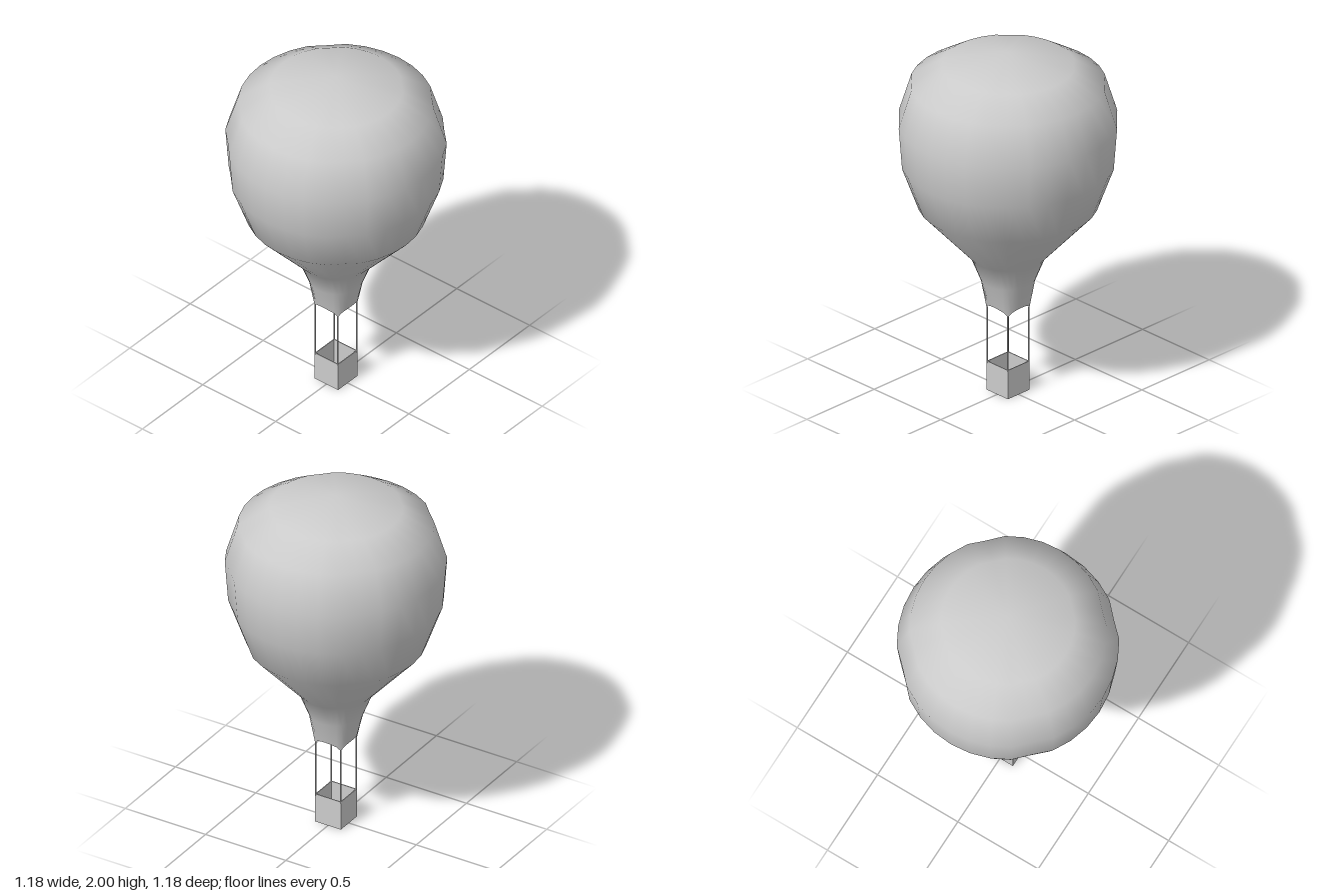
import * as THREE from 'three';
import { mergeVertices } from 'three/addons/utils/BufferGeometryUtils.js';

const material = new THREE.MeshStandardMaterial({ color: 0xcccccc, side: THREE.DoubleSide });
const HALF = 0.08; // half width of the basket, also the rope spacing

function addMesh(parent, name, geometry, x = 0, y = 0, z = 0) {
  const mesh = new THREE.Mesh(geometry, material);
  mesh.name = name;
  mesh.position.set(x, y, z);
  parent.add(mesh);
  return mesh;
}

// Turned balloon skin, open at the mouth, with a scalloped lower edge
function envelopeGeometry() {
  const profile = [
    [0.107, 0.525], [0.145, 0.66], [0.2, 0.8], [0.48, 1.11], [0.57, 1.36],
    [0.588, 1.6], [0.52, 1.82], [0.355, 1.925], [0, 2],
  ].map(([r, y]) => new THREE.Vector2(r, y));
  let geometry = new THREE.LatheGeometry(profile, 32);
  const p = geometry.attributes.position;
  for (let i = 0; i < p.count; i++) {
    const x = p.getX(i), y = p.getY(i), z = p.getZ(i);
    const angle = Math.atan2(z, x);
    const diagonal = Math.abs(Math.sin(2 * angle));
    if (y < 0.6) {
      // mouth: four arches meeting in points above the basket corners
      const arch = Math.pow(Math.abs(Math.cos(2 * angle)), 0.6);
      const s = 1 + 0.055 * (1 - arch);
      p.setXYZ(i, x * s, 0.485 + 0.04 * arch, z * s);
    } else if (y > 1 && diagonal > 0.99) {
      // slightly flattened seams on the diagonals
      p.setXYZ(i, x * 0.977, y, z * 0.977);
    }
  }
  geometry.deleteAttribute('uv');
  geometry.deleteAttribute('normal');
  geometry = mergeVertices(geometry, 1e-4);
  geometry.computeVertexNormals();
  return geometry;
}

export function createModel() {
  const model = new THREE.Group();
  model.name = 'hotAirBalloon';

  addMesh(model, 'envelope', envelopeGeometry());

  // Open basket: floor and four thin walls
  const basket = new THREE.Group();
  basket.name = 'basket';
  model.add(basket);
  const height = 0.17, wall = 0.005;
  addMesh(basket, 'basketFloor', new THREE.BoxGeometry(2 * HALF, wall, 2 * HALF), 0, wall / 2, 0);
  for (let i = 0; i < 4; i++) {
    const a = (i * Math.PI) / 2, d = HALF - wall / 2;
    const side = addMesh(basket, 'basketWall', new THREE.BoxGeometry(2 * HALF, height, wall),
      Math.sin(a) * d, height / 2, Math.cos(a) * d);
    side.rotation.y = a;
  }

  // Ropes from the basket corners to the points of the mouth
  for (const sx of [-1, 1]) {
    for (const sz of [-1, 1]) {
      addMesh(model, 'rope', new THREE.CylinderGeometry(0.004, 0.004, 0.33, 6),
        sx * (HALF - 0.002), 0.325, sz * (HALF - 0.002));
    }
  }
  return model;
}
